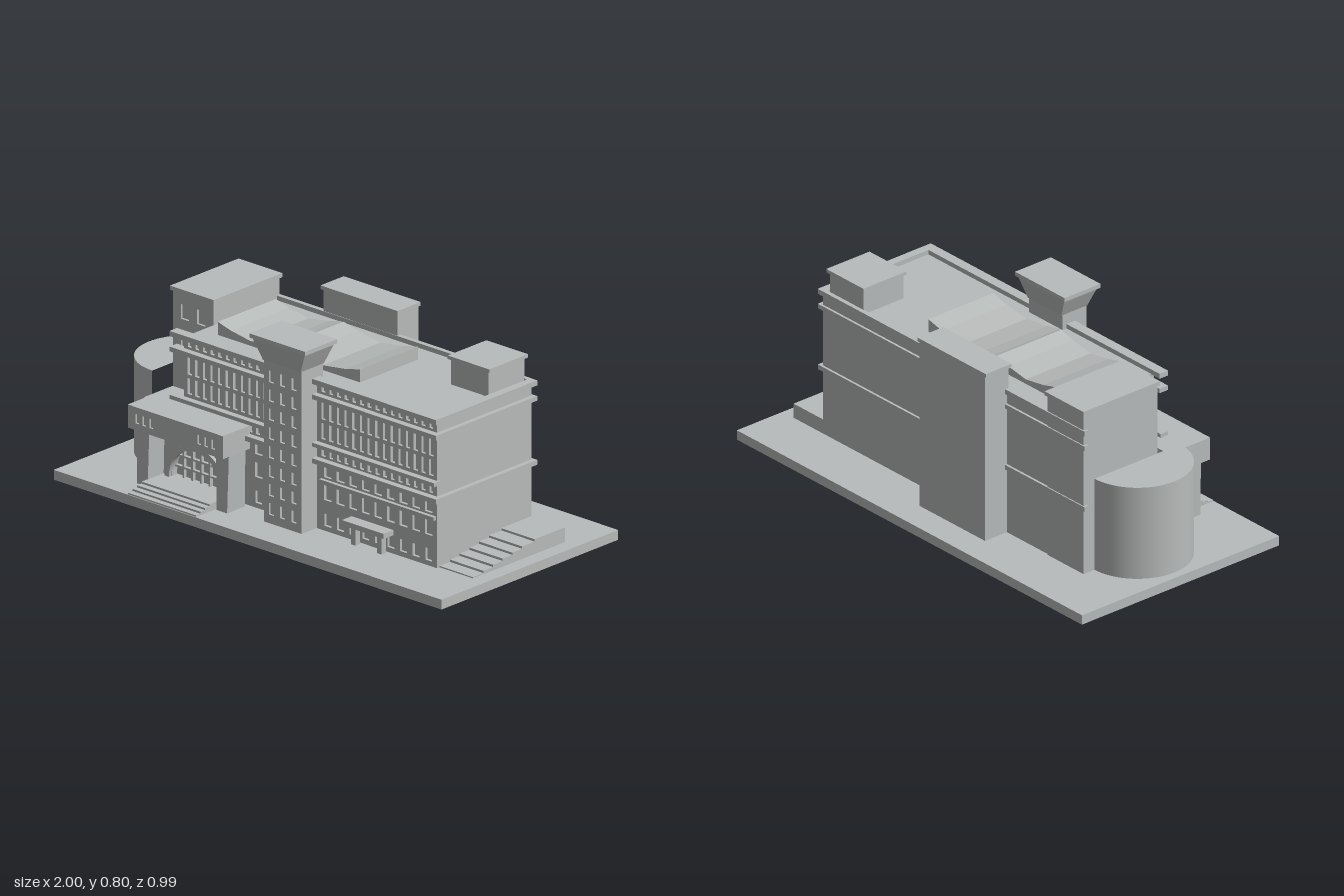
import * as THREE from 'three';

export function createModel() {
  const model = new THREE.Group();
  model.name = 'building';
  const stone = new THREE.MeshStandardMaterial({ color: 0xb8bcbb });
  stone.name = 'pale grey stone';

  const add = (name, geometry) => {
    const mesh = new THREE.Mesh(geometry, stone);
    mesh.name = name;
    model.add(mesh);
    return mesh;
  };

  // Box from its extents; grow flares the top corners outward by [x, z]
  function block(name, x0, x1, y0, y1, z0, z1, grow) {
    const g = new THREE.BoxGeometry(x1 - x0, y1 - y0, z1 - z0);
    if (grow) {
      const p = g.attributes.position;
      for (let i = 0; i < p.count; i++) {
        if (p.getY(i) > 0) {
          p.setX(i, p.getX(i) + Math.sign(p.getX(i)) * grow[0]);
          p.setZ(i, p.getZ(i) + Math.sign(p.getZ(i)) * grow[1]);
        }
      }
      g.computeVertexNormals();
    }
    g.translate((x0 + x1) / 2, (y0 + y1) / 2, (z0 + z1) / 2);
    return add(name, g);
  }

  const rect = (C, x0, x1, y0, y1) => {
    const s = new C();
    s.moveTo(x0, y0);
    s.lineTo(x1, y0);
    s.lineTo(x1, y1);
    s.lineTo(x0, y1);
    s.closePath();
    return s;
  };

  // Wall panel with openings, its face at z
  function facade(name, x0, x1, y0, y1, z, depth, holes) {
    const s = rect(THREE.Shape, x0, x1, y0, y1);
    s.holes.push(...holes);
    const g = new THREE.ExtrudeGeometry(s, { depth, bevelEnabled: false, curveSegments: 24 });
    g.translate(0, 0, z - depth);
    add(name, g);
  }

  // One row of evenly spaced openings; fill is the open share of each bay
  function row(x0, x1, count, y0, y1, fill) {
    const bay = (x1 - x0) / count;
    return Array.from({ length: count }, (_, i) => {
      const c = x0 + (i + 0.5) * bay;
      return rect(THREE.Path, c - bay * fill / 2, c + bay * fill / 2, y0, y1);
    });
  }

  // Ground slab and main body
  block('baseSlab', -1, 1, 0, 0.04, -0.495, 0.495);
  block('mainBody', -0.54, 0.765, 0.04, 0.637, -0.265, 0.253);

  // Front wall with its window rows on both sides of the stair tower
  const windows = [];
  for (const [x0, x1, n] of [[-0.53, -0.06, 12], [0.16, 0.755, 15]]) {
    windows.push(...row(x0, x1, n, 0.602, 0.628, 0.5));
    windows.push(...row(x0, x1, n, 0.49, 0.56, 0.55));
    windows.push(...row(x0, x1, n, 0.41, 0.475, 0.55));
    windows.push(...row(x0, x1, n, 0.34, 0.372, 0.5));
  }
  for (const [x0, x1, n] of [[-0.185, -0.06, 2], [0.17, 0.755, 9]]) {
    windows.push(...row(x0, x1, n, 0.258, 0.302, 0.6));
    windows.push(...row(x0, x1, n, 0.165, 0.225, 0.6));
    windows.push(...row(x0, x1, n, 0.06, 0.11, 0.55));
  }
  facade('frontWall', -0.54, 0.765, 0.04, 0.637, 0.265, 0.012, windows);

  // Ledges around the front, right and back
  for (const [y0, y1] of [[0.635, 0.656], [0.573, 0.592], [0.312, 0.332]]) {
    block('frontLedge', -0.59, 0.785, y0, y1, 0.25, 0.292);
    block('rightLedge', 0.75, 0.785, y0, y1, -0.275, 0.25);
    block('backLedge', -0.76, 0.75, y0, y1, -0.275, -0.255);
  }
  block('middleLedge', -0.59, 0.775, 0.38, 0.396, 0.255, 0.292);
  block('lowerLedge', 0.17, 0.76, 0.235, 0.25, 0.26, 0.28);

  // Left tower, lower wing in front of it and round end
  block('leftTower', -0.75, -0.54, 0.04, 0.727, -0.27, 0.09);
  facade('leftTowerFront', -0.75, -0.54, 0.335, 0.727, 0.1, 0.01, [
    ...row(-0.73, -0.56, 2, 0.62, 0.68, 0.5),
    ...row(-0.73, -0.56, 2, 0.5, 0.56, 0.5),
  ]);
  block('leftTowerCap', -0.76, -0.535, 0.725, 0.742, -0.28, 0.105);
  block('leftWing', -0.75, -0.54, 0.04, 0.335, 0.09, 0.262);
  const round = new THREE.CylinderGeometry(0.215, 0.215, 0.39, 32, 1, false, Math.PI, Math.PI);
  round.translate(-0.75, 0.235, 0);
  add('roundEnd', round);

  // Rear tower and roof house
  block('rearTower', -0.3, 0.08, 0.04, 0.747, -0.375, -0.257);
  block('rearTowerCap', -0.31, 0.087, 0.745, 0.76, -0.38, -0.25);
  block('roofHouse', 0.54, 0.735, 0.63, 0.742, -0.257, -0.057);
  block('roofHouseCap', 0.53, 0.745, 0.74, 0.754, -0.267, -0.05);

  // Sagging roof lights
  for (const [x0, x1] of [[-0.46, -0.122], [-0.112, 0.273]]) {
    const w = x1 - x0;
    const s = new THREE.Shape();
    s.moveTo(x0, 0.63);
    s.lineTo(x1, 0.63);
    for (const [t, y] of [[1, 0.69], [0.8, 0.672], [0.5, 0.656], [0.2, 0.672], [0, 0.69]]) {
      s.lineTo(x0 + w * t, y);
    }
    const g = new THREE.ExtrudeGeometry(s, { depth: 0.325, bevelEnabled: false });
    g.translate(0, 0, -0.163);
    add('roofLight', g);
  }

  // Front stair tower with flared head
  block('stairTower', -0.05, 0.145, 0.04, 0.702, 0.23, 0.34);
  const slots = [];
  for (let i = 0; i < 8; i++) slots.push(...row(-0.04, 0.135, 3, 0.075 + i * 0.077, 0.123 + i * 0.077, 0.45));
  facade('stairTowerFront', -0.05, 0.145, 0.04, 0.702, 0.35, 0.01, slots);
  block('stairTowerFlare', -0.05, 0.145, 0.7, 0.786, 0.225, 0.355, [0.038, 0.018]);
  block('stairTowerCap', -0.097, 0.19, 0.785, 0.802, 0.2, 0.38);

  // Entrance portico
  block('porticoLintel', -0.69, -0.2, 0.272, 0.366, 0.21, 0.408);
  facade('porticoLintelFront', -0.69, -0.2, 0.272, 0.366, 0.417, 0.009, [
    ...row(-0.66, -0.55, 3, 0.3, 0.338, 0.5),
    ...row(-0.34, -0.23, 3, 0.3, 0.338, 0.5),
  ]);
  for (const x of [-0.645, -0.235]) {
    block('porticoPillar', x - 0.027, x + 0.027, 0.04, 0.274, 0.285, 0.384, [0.006, -0.003]);
  }

  // Arched gate
  const arch = new THREE.Path();
  arch.absarc(-0.44, 0.085, 0.135, 0, Math.PI, false);
  arch.lineTo(-0.575, 0.065);
  arch.lineTo(-0.305, 0.065);
  arch.closePath();
  facade('gateWall', -0.65, -0.23, 0.04, 0.274, 0.295, 0.03, [arch]);
  const ring = new THREE.Shape();
  ring.absarc(-0.44, 0.07, 0.16, 0, Math.PI, false);
  ring.absarc(-0.44, 0.07, 0.137, Math.PI, 0, true);
  const ringGeometry = new THREE.ExtrudeGeometry(ring, { depth: 0.02, bevelEnabled: false, curveSegments: 24 });
  ringGeometry.translate(0, 0, 0.29);
  add('gateArch', ringGeometry);
  for (let i = -2; i <= 2; i++) {
    const top = 0.085 + Math.sqrt(0.135 ** 2 - (i * 0.045) ** 2);
    block('gateBar', -0.444 + i * 0.045, -0.436 + i * 0.045, 0.04, top, 0.264, 0.28);
  }
  for (const y of [0.11, 0.155]) {
    const half = Math.sqrt(0.135 ** 2 - (y - 0.085) ** 2);
    block('gateRail', -0.44 - half, -0.44 + half, y - 0.004, y + 0.004, 0.264, 0.279);
  }

  // Entrance steps
  [0.491, 0.466, 0.441, 0.416].forEach((z, i) => {
    block('entranceStep', -0.62, -0.27, 0.038, 0.046 + i * 0.008, 0.26, z);
  });

  // Side door canopy
  block('canopyRoof', 0.325, 0.54, 0.115, 0.136, 0.262, 0.32);
  for (const x of [0.367, 0.502]) block('canopyPost', x - 0.012, x + 0.012, 0.04, 0.116, 0.277, 0.302);

  // Side stair rising to a landing at the back
  [0.25, 0.192, 0.138, 0.084, 0.03, -0.025, -0.095].forEach((z, i) => {
    block('sideStep', 0.76, 0.937, 0.038, 0.045 + i * 0.0092, -0.265, z);
  });

  return model;
}
